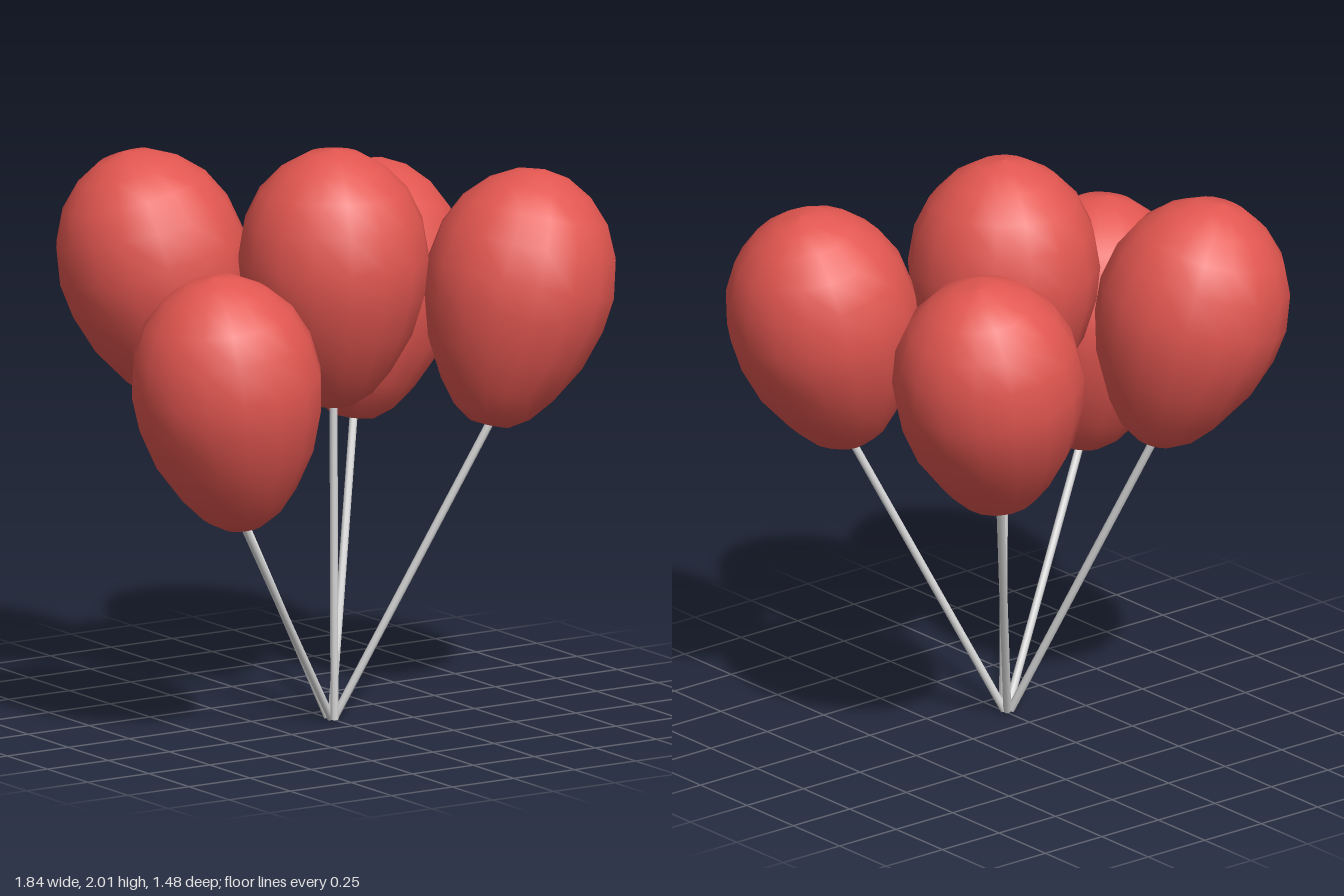
import * as THREE from 'three';

const balloonRed = new THREE.MeshStandardMaterial({ color: 0xe25650 });
balloonRed.name = 'balloonRed';
const stringGrey = new THREE.MeshStandardMaterial({ color: 0xd8d8d8 });
stringGrey.name = 'stringGrey';

const UP = new THREE.Vector3(0, 1, 0);

// Egg profile, 0.9 tall around its middle, narrower at the bottom
const PROFILE = [
  [0, -0.45], [0.07, -0.443], [0.135, -0.4], [0.2, -0.32], [0.275, -0.19], [0.318, -0.05],
  [0.331, 0.07], [0.309, 0.2], [0.258, 0.305], [0.18, 0.385], [0.09, 0.435], [0, 0.45],
].map(([r, y]) => new THREE.Vector2(r, y));

// Each balloon: middle, lower tip and foot of its string
const BALLOONS = [
  { name: 'middle', centre: [-0.02, 1.55, 0.162], tip: [-0.02, 1.1, 0.162], foot: [-0.015, 0, 0.16] },
  { name: 'frontRight', centre: [-0.58, 1.215, 0.36], tip: [-0.52, 0.78, 0.36], foot: [-0.01, 0, 0.13] },
  { name: 'backRight', centre: [-0.365, 1.49, -0.41], tip: [-0.27, 1.06, -0.34], foot: [-0.015, 0, 0.12] },
  { name: 'backLeft', centre: [0.422, 1.375, -0.3], tip: [0.33, 0.945, -0.245], foot: [0, 0, 0.12] },
  { name: 'frontLeft', centre: [0.57, 1.453, 0.405], tip: [0.46, 1.02, 0.4], foot: [0.005, 0, 0.13] },
];

export function createModel() {
  const model = new THREE.Group();
  model.name = 'balloonBunch';
  const egg = new THREE.LatheGeometry(PROFILE, 16);

  for (const b of BALLOONS) {
    const centre = new THREE.Vector3(...b.centre);
    const tip = new THREE.Vector3(...b.tip);
    const foot = new THREE.Vector3(...b.foot);

    // Balloon leaning along its own axis
    const balloon = new THREE.Mesh(egg, balloonRed);
    balloon.name = b.name + 'Balloon';
    balloon.position.copy(centre);
    balloon.quaternion.setFromUnitVectors(UP, centre.clone().sub(tip).normalize());
    model.add(balloon);

    // Straight string from the foot to just inside the tip
    const dir = tip.clone().sub(foot);
    const length = dir.length() + 0.03;
    dir.normalize();
    const string = new THREE.Mesh(new THREE.CylinderGeometry(0.014, 0.014, length, 8), stringGrey);
    string.name = b.name + 'String';
    string.position.copy(foot).addScaledVector(dir, length / 2);
    string.quaternion.setFromUnitVectors(UP, dir);
    model.add(string);
  }
  return model;
}
